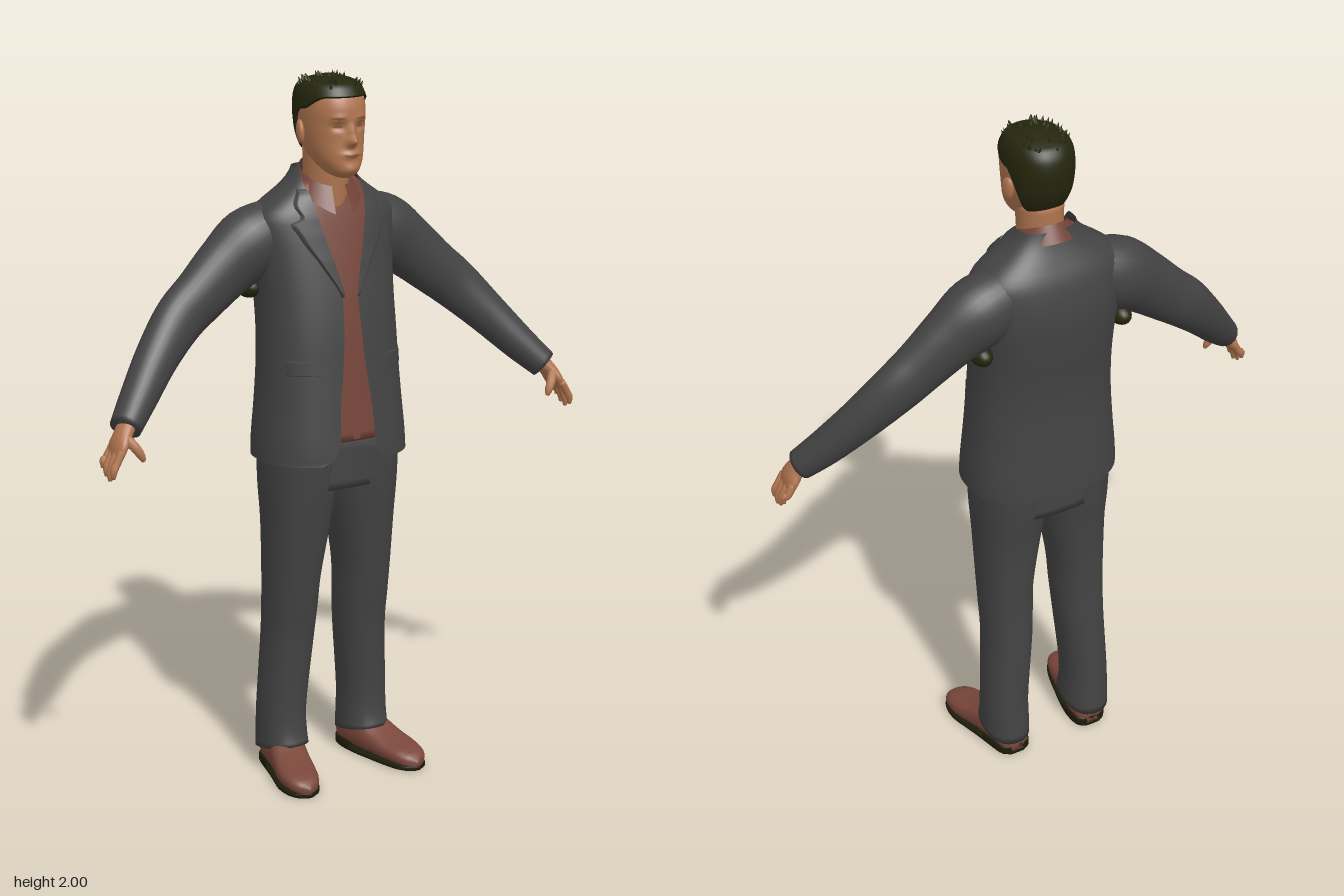
import * as THREE from 'three';

const mat = (name, color, side = THREE.FrontSide) =>
  Object.assign(new THREE.MeshStandardMaterial({ color, side }), { name });

// Smoothly interpolates a table whose first column is the key.
function at(rows, key) {
  const last = rows.length - 1;
  let i = 0;
  while (i < last - 1 && key > rows[i + 1][0]) i++;
  const p = rows[Math.max(i - 1, 0)], a = rows[i], b = rows[i + 1], q = rows[Math.min(i + 2, last)];
  const f = THREE.MathUtils.clamp((key - a[0]) / (b[0] - a[0]), 0, 1);
  return a.map((v, k) => v + f * 0.5 * (b[k] - p[k] + f * (2 * p[k] - 5 * v + 4 * b[k] - q[k] + f * (3 * (v - b[k]) + q[k] - p[k]))));
}

// Grid surface from fn(u, v); wrapped surfaces with caps are turned outwards.
function loft(nu, nv, fn, wrap = true, cap = true) {
  const pos = [], idx = [], cols = wrap ? nu : nu + 1;
  for (let j = 0; j <= nv; j++) for (let i = 0; i < cols; i++) pos.push(...fn(i / nu, j / nv));
  for (let j = 0; j < nv; j++) for (let i = 0; i < nu; i++) {
    const a = j * cols + i, b = j * cols + (i + 1) % cols;
    idx.push(a, b, b + cols, a, b + cols, a + cols);
  }
  if (cap) for (const j of [0, nv]) {
    const c = [0, 0, 0], o = pos.length / 3;
    for (let i = 0; i < cols; i++) for (let k = 0; k < 3; k++) c[k] += pos[(j * cols + i) * 3 + k] / cols;
    pos.push(...c);
    for (let i = 0; i < nu; i++) {
      const a = j * cols + i, b = j * cols + (i + 1) % cols;
      idx.push(...(j ? [a, b, o] : [b, a, o]));
    }
  }
  const P = i => new THREE.Vector3().fromArray(pos, i * 3);
  let volume = 0;
  for (let i = 0; i < idx.length; i += 3) volume += P(idx[i]).dot(P(idx[i + 1]).cross(P(idx[i + 2])));
  if (volume < 0) idx.reverse();
  const g = new THREE.BufferGeometry();
  g.setAttribute('position', new THREE.Float32BufferAttribute(pos, 3));
  g.setIndex(idx);
  g.computeVertexNormals();
  return g;
}

// Rounded horizontal section: row = [y, centre x, half width, front z, back z]; angle 0 faces forward.
const pw = (v, n) => Math.sign(v) * Math.abs(v) ** (2 / n);
function section([y, cx, rx, zf, zb], a, n, grow = 0) {
  return [cx + (rx + grow) * pw(Math.sin(a), n), y, (zf + zb) / 2 + ((zf - zb) / 2 + grow) * pw(Math.cos(a), n)];
}
function frontZ([, , rx, zf, zb], x, n) {
  return (zf + zb) / 2 + (zf - zb) / 2 * Math.max(0, 1 - Math.abs(x / rx) ** n) ** (1 / n);
}

// Limb along a path: rows of [x, y, z, half thickness, half width towards z].
function limb(rows, s, nu = 20, nv = 24) {
  const keyed = rows.map((r, i) => [i / (rows.length - 1), ...r]);
  return loft(nu, nv, (u, v) => {
    const [, x, y, z, ru, rv] = at(keyed, v);
    const p = at(keyed, Math.max(0, v - 0.02)), q = at(keyed, Math.min(1, v + 0.02));
    const t = new THREE.Vector3(q[1] - p[1], q[2] - p[2], q[3] - p[3]).normalize();
    const U = new THREE.Vector3(-t.y, t.x, 0).normalize(), V = t.clone().cross(U);
    const c = Math.cos(u * Math.PI * 2) * ru, d = Math.sin(u * Math.PI * 2) * rv;
    return [s * (x + U.x * c + V.x * d), y + U.y * c + V.y * d, z + U.z * c + V.z * d];
  });
}

const TORSO = [
  [0.945, 0, 0.222, 0.155, -0.18], [1, 0, 0.22, 0.15, -0.178], [1.1, 0, 0.211, 0.14, -0.171],
  [1.2, 0, 0.204, 0.13, -0.166], [1.3, 0, 0.2, 0.12, -0.169], [1.4, 0, 0.2, 0.105, -0.18],
  [1.5, 0, 0.207, 0.085, -0.186], [1.57, 0, 0.215, 0.068, -0.178], [1.62, 0, 0.212, 0.054, -0.165],
  [1.655, 0, 0.175, 0.042, -0.148], [1.69, 0, 0.125, 0.03, -0.13], [1.72, 0, 0.095, 0.018, -0.117], [1.742, 0, 0.083, 0, -0.11]];
const OPENING = [[0.945, 0.11], [0.965, 0.075], [1, 0.057], [1.1, 0.05], [1.2, 0.037], [1.3, 0.028],
  [1.4, 0.025], [1.45, 0.035], [1.55, 0.062], [1.65, 0.085], [1.7, 0.088], [1.742, 0.08]];
const LEG = [
  [0.072, 0.135, 0.068, 0.04, -0.138], [0.12, 0.135, 0.067, 0.03, -0.134], [0.2, 0.134, 0.066, 0.026, -0.13],
  [0.4, 0.12, 0.07, 0.04, -0.124], [0.5, 0.117, 0.073, 0.055, -0.12], [0.6, 0.115, 0.076, 0.07, -0.12],
  [0.75, 0.105, 0.09, 0.09, -0.126], [0.86, 0.1, 0.1, 0.105, -0.14], [0.98, 0.1, 0.1, 0.115, -0.15]];
const HEAD = [
  [1.722, 0, 0.015, 0.085, 0.03], [1.735, 0, 0.038, 0.106, 0], [1.76, 0, 0.058, 0.112, -0.045],
  [1.79, 0, 0.071, 0.109, -0.078], [1.83, 0, 0.08, 0.105, -0.102], [1.87, 0, 0.084, 0.107, -0.112],
  [1.91, 0, 0.085, 0.107, -0.113], [1.945, 0, 0.079, 0.093, -0.104], [1.968, 0, 0.06, 0.068, -0.08], [1.982, 0, 0.012, 0, -0.02]];
const SHOE = [ // z, centre x, half width, top y
  [-0.126, 0.13, 0.022, 0.06], [-0.11, 0.13, 0.044, 0.08], [-0.06, 0.134, 0.054, 0.1], [0, 0.145, 0.057, 0.105],
  [0.05, 0.158, 0.058, 0.083], [0.1, 0.17, 0.058, 0.066], [0.15, 0.177, 0.048, 0.055], [0.178, 0.179, 0.03, 0.042], [0.19, 0.18, 0.006, 0.03]];

// Facial relief: nose, brows, eye sockets, lips, chin.
const bump = (x, y, cx, cy, sx, sy) => Math.exp(-(((x - cx) / sx) ** 2) - ((y - cy) / sy) ** 2);
const relief = (x, y) => 0.027 * bump(x, y, 0, 1.823, 0.014, 0.014) + 0.014 * bump(x, y, 0, 1.848, 0.01, 0.02)
  + 0.009 * bump(x, y, 0, 1.787, 0.025, 0.009) + 0.006 * bump(x, y, 0, 1.748, 0.025, 0.012)
  + 0.004 * bump(Math.abs(x), y, 0.035, 1.885, 0.025, 0.01) - 0.009 * bump(Math.abs(x), y, 0.033, 1.861, 0.018, 0.011);

export function createModel() {
  const root = new THREE.Group();
  const D = THREE.DoubleSide, TAU = Math.PI * 2;
  const suit = mat('charcoal suit', 0x434343, D), shirt = mat('russet shirt', 0x754438, D);
  const skin = mat('skin', 0xb0754f), lip = mat('lips and lids', 0x8c563c, D);
  const hair = mat('dark hair', 0x24260d, D), shoe = mat('brown leather', 0x7a473b), sole = mat('dark sole', 0x1d1d0c);
  const add = (name, geo, material, parent = root) => {
    const m = new THREE.Mesh(geo, material);
    m.name = name;
    parent.add(m);
    return m;
  };
  const ball = (name, material, p, r) => {
    const m = add(name, new THREE.SphereGeometry(1, 20, 14), material);
    m.position.set(...p);
    m.scale.set(...r);
    return m;
  };

  // Jacket body, open down the front, over a closed shirt
  add('jacketBody', loft(72, 50, (u, v) => {
    const y = 0.945 + 0.797 * v, row = at(TORSO, y);
    const a0 = Math.asin(Math.min(1, (at(OPENING, y)[1] / row[2]) ** 1.2));
    return section(row, a0 + u * (TAU - 2 * a0), 2.4);
  }, false, false), suit);
  add('shirt', loft(48, 30, (u, v) => section(at(TORSO, 1.005 + 0.7 * v), u * TAU, 2.4, -0.012)), shirt);

  // Shirt collar: a folded band, parted at the throat
  add('shirtCollar', loft(48, 6, (u, v) => {
    const a = 0.3 + u * (TAU - 0.6), c = Math.cos(a), point = Math.max(0, c) ** 3;
    const r = 0.068 + 0.026 * v;
    return [r * Math.sin(a), 1.727 - 0.033 * c - v * (0.045 + 0.03 * point), -0.03 + (r + 0.006 + 0.012 * point * v) * c];
  }, false, false), shirt);
  // Shirt button placket
  add('placket', loft(2, 30, (u, v) => {
    const y = 1.01 + 0.62 * v, x = (u - 0.5) * 0.022;
    return [x, y, frontZ(at(TORSO, y), x, 2.4) - 0.008];
  }, false, false), shirt);

  // Thin cloth panel lying on the jacket front
  const panel = (name, s, y0, y1, inner, outer, lift) => add(name, loft(10, 30, (u, v) => {
    const y = y0 + (y1 - y0) * v, x = THREE.MathUtils.lerp(inner(y), outer(y), u);
    return [s * x, y, frontZ(at(TORSO, y), x, 2.4) + lift * (u > 0.95 || v === 0 || v === 1 ? 0.1 : 1)];
  }, false, false), suit);
  const LAPEL = [[1.4, 0.027], [1.5, 0.085], [1.58, 0.135], [1.605, 0.146], [1.615, 0.118], [1.65, 0.13], [1.69, 0.108]];

  // Hips
  const hip = [0, 0, 0.19, 0.105, -0.145];
  add('trouserHips', loft(40, 6, (u, v) => {
    hip[0] = 0.86 + 0.13 * v;
    return section(hip, u * TAU, 2.5);
  }), suit);

  for (const s of [1, -1]) {
    const side = s > 0 ? 'left' : 'right';
    panel(side + 'Lapel', s, 1.4, 1.69, y => at(OPENING, y)[1] - 0.004, y => at(LAPEL, y)[1], 0.009);
    panel(side + 'PocketFlap', s, 1.195, 1.235, () => 0.105, () => 0.182, 0.006);

    add(side + 'Sleeve', limb([
      [0.13, 1.575, -0.07, 0.085, 0.08], [0.21, 1.54, -0.072, 0.1, 0.088], [0.29, 1.485, -0.067, 0.089, 0.072],
      [0.37, 1.42, -0.058, 0.079, 0.061], [0.445, 1.36, -0.047, 0.073, 0.056], [0.53, 1.275, -0.012, 0.061, 0.054],
      [0.61, 1.187, 0.037, 0.051, 0.05], [0.672, 1.122, 0.08, 0.042, 0.044]], s, 28, 36), suit);
    ball(side + 'UnderarmPatch', hair, [s * 0.212, 1.418, -0.085], [0.03, 0.03, 0.045]);

    // Hand: palm, four fingers and a thumb
    const hand = new THREE.Group();
    hand.name = side + 'Hand';
    root.add(hand);
    add('palm', limb([[0.655, 1.14, 0.07, 0.024, 0.03], [0.68, 1.112, 0.085, 0.022, 0.032],
      [0.698, 1.083, 0.092, 0.019, 0.042], [0.71, 1.055, 0.095, 0.012, 0.04]], s), skin, hand);
    for (let i = 0; i < 4; i++) {
      const z = 0.064 + i * 0.021, tip = [1.022, 1.004, 0.996, 1.006][i];
      add('finger', limb([[0.704, 1.075, z, 0.011, 0.011], [0.722, 1.045, z, 0.011, 0.011],
        [0.732, tip + 0.02, z + 0.003, 0.01, 0.01], [0.733, tip, z + 0.003, 0.005, 0.005]], s, 10, 10), skin, hand);
    }
    add('thumb', limb([[0.685, 1.105, 0.108, 0.014, 0.014], [0.667, 1.08, 0.127, 0.013, 0.013],
      [0.654, 1.058, 0.134, 0.011, 0.011], [0.648, 1.043, 0.136, 0.005, 0.005]], s, 10, 10), skin, hand);

    // Trouser leg with a hem that dips at the heel
    add(side + 'TrouserLeg', loft(32, 44, (u, v) => {
      const p = section(at(LEG, 0.072 + 0.908 * v), u * TAU, 2.3);
      if (p[1] < 0.13) p[1] += (p[2] + 0.04) * 0.22 * (0.13 - p[1]) / 0.058;
      return [s * p[0], p[1], p[2]];
    }), suit);

    // Shoe, sole and heel follow one outline
    const foot = (z0, z1, y0, grow, top) => loft(24, 24, (u, v) => {
      const [z, cx, rx, h] = at(SHOE, z0 + (z1 - z0) * v), y1 = top || h, a = u * TAU;
      return [s * (cx + (rx + grow) * pw(Math.cos(a), top ? 6 : 2.6)), (y0 + y1) / 2 + (y1 - y0) / 2 * pw(Math.sin(a), top ? 6 : 2.6), z];
    });
    add(side + 'Shoe', foot(-0.126, 0.19, 0.008, 0, 0), shoe);
    add(side + 'Sole', foot(-0.126, 0.188, 0, 0.002, 0.014), sole);
    add(side + 'Heel', foot(-0.126, -0.03, 0, 0.003, 0.032), sole);

    ball(side + 'Ear', skin, [s * 0.087, 1.842, -0.012], [0.011, 0.033, 0.02]).rotation.set(-0.15, s * 0.3, 0);
  }

  // Neck and head
  add('neck', loft(28, 10, (u, v) => section([1.62 + 0.18 * v, 0, 0.058 + 0.006 * v, 0.035 + 0.012 * v, -0.092], u * TAU, 2)), skin);
  add('head', loft(96, 64, (u, v) => {
    const p = section(at(HEAD, 1.722 + 0.26 * v), u * TAU, 2.2);
    if (p[2] > 0.02) p[2] += relief(p[0], p[1]);
    return p;
  }), skin);

  // Thin painted face details
  const detail = (name, cx, cy, w, h) => add(name, loft(10, 4, (u, v) => {
    const x = cx + (u - 0.5) * w, y = cy + (v - 0.5) * h * Math.sin(Math.PI * (0.1 + 0.8 * u));
    return [x, y, frontZ(at(HEAD, y), x, 2.2) + relief(x, y) + 0.0015];
  }, false, false), lip);
  detail('mouth', 0, 1.786, 0.046, 0.01);
  for (const s of [1, -1]) {
    detail('eye', s * 0.034, 1.861, 0.026, 0.007);
    detail('eyebrow', s * 0.035, 1.884, 0.036, 0.006);
  }

  // Hair cap: high on the forehead, around the ears, down to the nape
  add('hair', loft(64, 24, (u, v) => {
    const a = u * TAU, c = Math.cos(a);
    const low = 1.79 + 0.115 * THREE.MathUtils.smoothstep(c, -0.75, -0.05) + 0.035 * THREE.MathUtils.smoothstep(c, -0.05, 0.8);
    const p = section(at(HEAD, low + (1.982 - low) * v), a, 2.2, 0.007);
    p[1] += 0.009 * v;
    return p;
  }), hair);

  // Short tufts over the crown
  let seed = 7;
  const rnd = () => (seed = (seed * 16807) % 2147483647) / 2147483647;
  const tuft = new THREE.ConeGeometry(0.011, 0.03, 5);
  for (let i = 0; i < 44; i++) {
    const a = rnd() * TAU, y = 1.95 + 0.03 * rnd();
    const p = section(at(HEAD, y), a, 2.2);
    const m = add('hairTuft', tuft, hair);
    m.position.set(p[0], Math.min(p[1] + 0.008, 1.985), p[2]);
    m.rotation.set(p[2] * 6, 0, -p[0] * 7);
  }
  return root;
}
